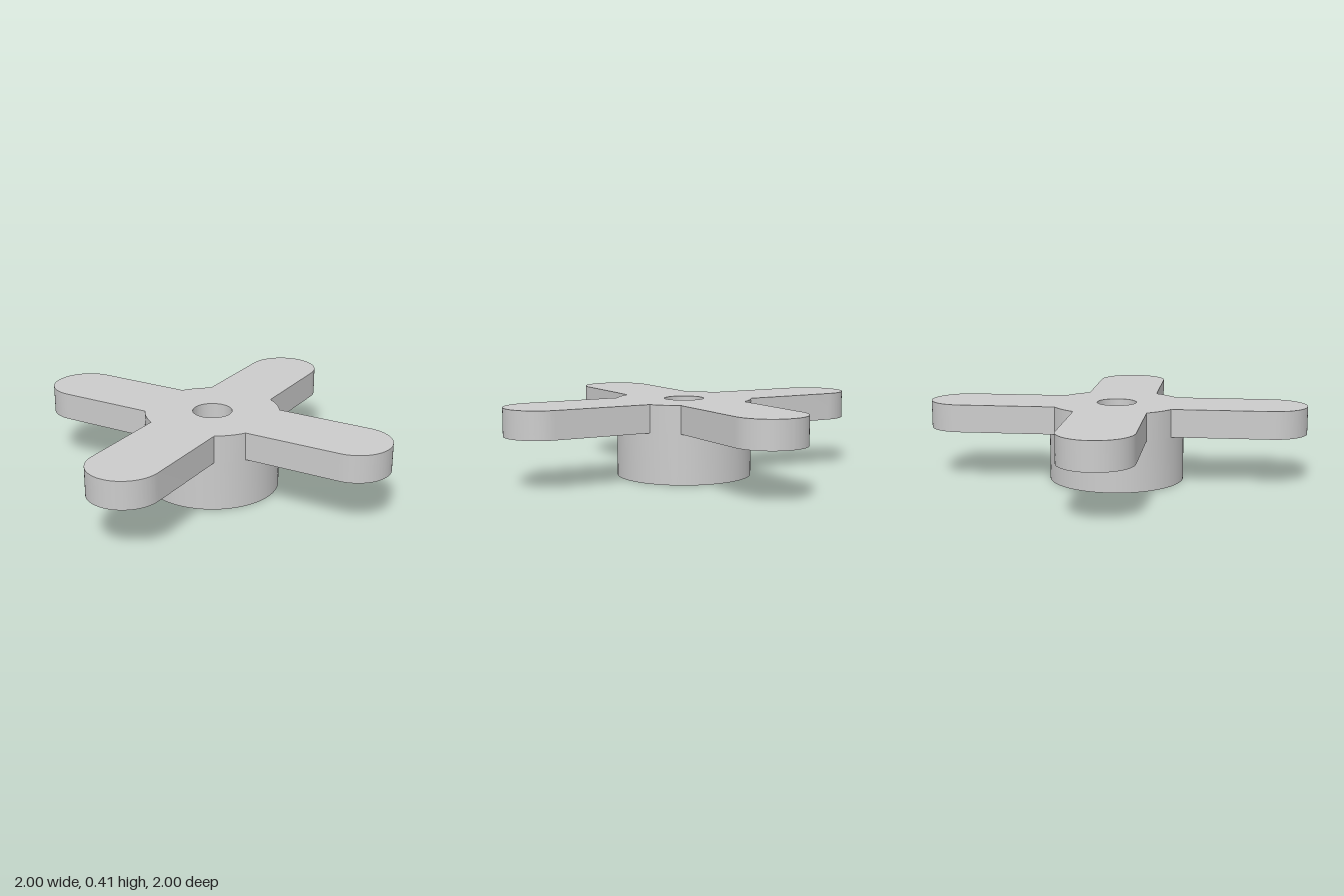
import * as THREE from 'three';
import { toCreasedNormals } from 'three/addons/utils/BufferGeometryUtils.js';

const HUB_R = 0.355, BORE_R = 0.256, HOLE_R = 0.104;
const ARM_R = 0.187, ARM_BOTTOM = 0.26, TOP = 0.405;

export function createModel() {
  const group = new THREE.Group();
  const material = new THREE.MeshStandardMaterial({ color: 0xcccccc });
  const add = (name, geometry) => {
    const mesh = new THREE.Mesh(toCreasedNormals(geometry, 0.5), material);
    mesh.name = name;
    group.add(mesh);
  };

  // Four round-ended arms joined by arcs of the hub, with a centre hole
  const outline = new THREE.Shape();
  const joint = Math.asin(ARM_R / HUB_R);
  const reach = 1 - ARM_R;
  for (let i = 0; i < 4; i++) {
    const t = i * Math.PI / 2;
    outline.absarc(reach * Math.cos(t), reach * Math.sin(t), ARM_R, t - Math.PI / 2, t + Math.PI / 2);
    outline.absarc(0, 0, HUB_R, t + joint, t + Math.PI / 2 - joint);
  }
  outline.closePath();
  const hole = new THREE.Path();
  hole.absarc(0, 0, HOLE_R, 0, Math.PI * 2, true);
  outline.holes.push(hole);
  const plate = new THREE.ExtrudeGeometry(outline, {
    depth: TOP - ARM_BOTTOM, bevelEnabled: false, curveSegments: 40,
  });
  plate.rotateX(-Math.PI / 2).translate(0, ARM_BOTTOM, 0);
  add('crossPlate', plate);

  // Hollow hub under the plate, which closes off the wide bore
  const profile = [
    [BORE_R, ARM_BOTTOM], [BORE_R, 0], [HUB_R, 0], [HUB_R, ARM_BOTTOM],
  ].map(([r, y]) => new THREE.Vector2(r, y));
  add('hub', new THREE.LatheGeometry(profile, 96));

  return group;
}
